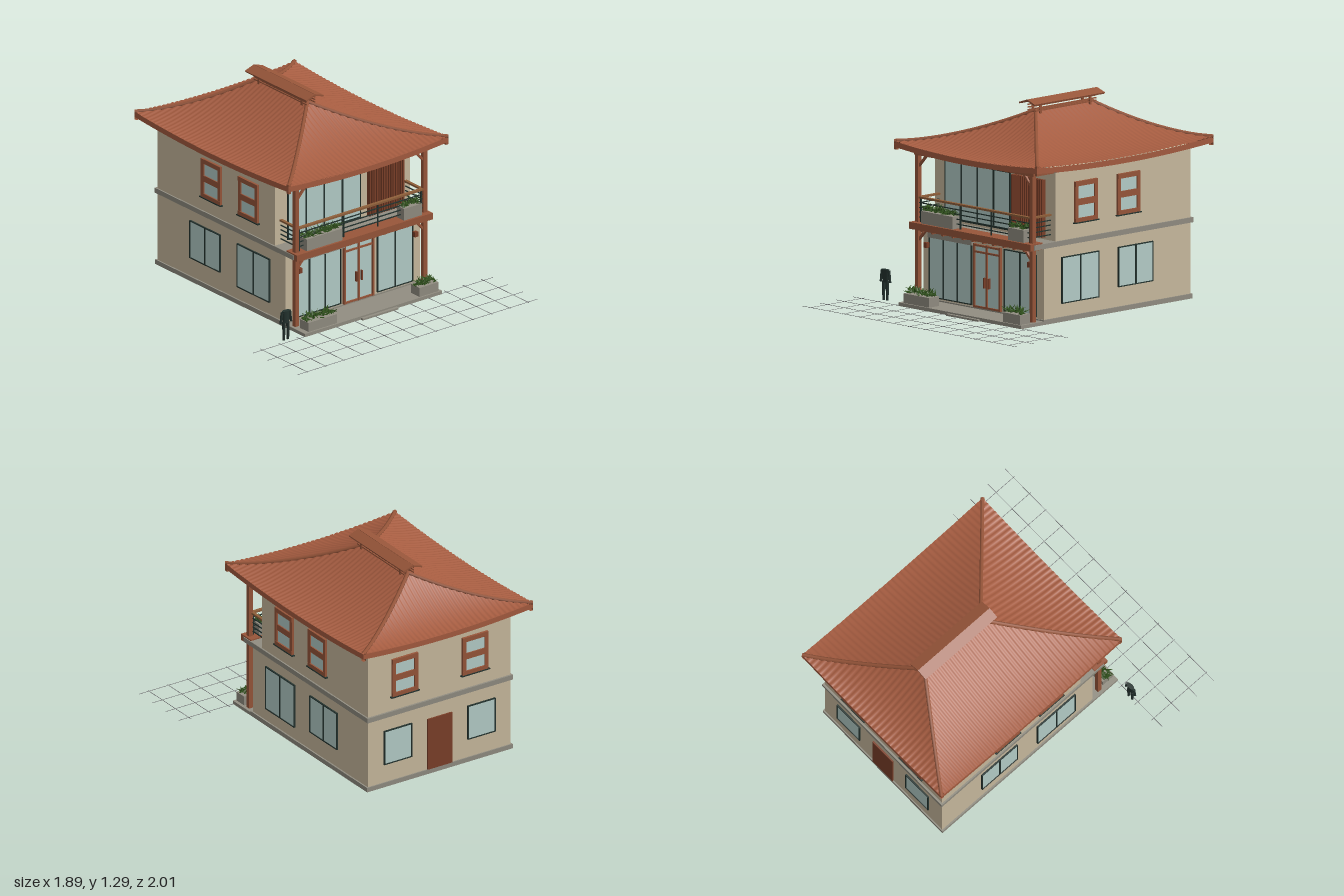
import * as THREE from 'three';
import { mergeGeometries } from 'three/addons/utils/BufferGeometryUtils.js';

const mat = (name, color, side = THREE.FrontSide) => {
  const m = new THREE.MeshStandardMaterial({ color, side });
  m.name = name;
  return m;
};

export function createModel() {
  const roofTile = mat('roof tile', 0xa65c40, THREE.DoubleSide);
  const timber = mat('timber', 0x98563a);
  const wall = mat('plaster', 0xcabb9f);
  const stone = mat('stone', 0x928e82);
  const glass = mat('glass', 0xb6cfca);
  const steel = mat('dark steel', 0x24332f);
  const leaf = mat('foliage', 0x34571f, THREE.DoubleSide);
  const screen = mat('screen', 0x7d4029);
  const railWood = mat('rail wood', 0x8f5f3a);
  const gridLine = mat('paving joint', 0x77777a);

  const house = new THREE.Group();
  house.name = 'house';
  const add = (parent, name, geo, m) => {
    const mesh = new THREE.Mesh(geo, m);
    mesh.name = name;
    parent.add(mesh);
    return mesh;
  };
  // box given by its limits
  const box = (name, m, x0, x1, y0, y1, z0, z1, parent = house) => {
    const b = add(parent, name, new THREE.BoxGeometry(x1 - x0, y1 - y0, z1 - z0), m);
    b.position.set((x0 + x1) / 2, (y0 + y1) / 2, (z0 + z1) / 2);
    return b;
  };
  // straight bar between two points
  const bar = (name, m, a, b, w) => {
    const p = new THREE.Vector3(...a), q = new THREE.Vector3(...b);
    const mesh = add(house, name, new THREE.BoxGeometry(w, w, p.distanceTo(q)), m);
    mesh.position.copy(p).add(q).multiplyScalar(0.5);
    mesh.lookAt(q);
    return mesh;
  };
  // grid surface from fn(s, t) -> [x, y, z]
  const surface = (fn, ns, nt) => {
    const pos = [], idx = [], row = nt + 1;
    for (let i = 0; i <= ns; i++) for (let j = 0; j <= nt; j++) {
      pos.push(...fn(i / ns, j / nt));
      const a = i * row + j, b = a + row;
      if (i < ns && j < nt) idx.push(a, b, b + 1, a, b + 1, a + 1);
    }
    const g = new THREE.BufferGeometry();
    g.setAttribute('position', new THREE.Float32BufferAttribute(pos, 3));
    g.setIndex(idx);
    g.computeVertexNormals();
    return g;
  };

  // body
  box('plinth', stone, -0.54, 0.54, 0, 0.03, -0.91, 0.365);
  box('terrace', stone, -0.54, 0.54, 0, 0.022, 0.365, 0.56);
  box('frontStep', stone, -0.1, 0.18, 0, 0.012, 0.56, 0.58);
  box('lowerWalls', wall, -0.53, 0.53, 0.03, 0.475, -0.902, 0.355);
  box('floorBand', stone, -0.54, 0.54, 0.475, 0.507, -0.915, 0.445);
  box('upperWalls', wall, -0.53, 0.53, 0.507, 0.96, -0.902, 0.255);
  box('upperTrim', stone, -0.534, 0.534, 0.936, 0.946, -0.906, 0.259);

  // faces: local x runs to the viewer's right, local z points outwards
  const face = (name, x, z, angle) => {
    const g = new THREE.Group();
    g.name = name;
    g.position.set(x, 0, z);
    g.rotation.y = angle;
    house.add(g);
    return g;
  };
  // glazing with dark frame and evenly spaced mullions
  const glazing = (f, x0, x1, y0, y1, panes) => {
    box('glass', glass, x0, x1, y0, y1, 0, 0.006, f);
    for (let i = 0; i <= panes; i++) {
      const x = x0 + (x1 - x0) * i / panes, w = i % panes ? 0.005 : 0.003;
      box('mullion', steel, x - w, x + w, y0, y1, 0, 0.011, f);
    }
    for (const y of [y0, y1]) box('windowRail', steel, x0 - 0.003, x1 + 0.003, y - 0.003, y + 0.003, 0, 0.011, f);
  };
  // upper window with heavy timber frame
  const framedWindow = (f, x) => {
    const w = 0.095, y0 = 0.605, y1 = 0.86;
    box('glass', glass, x - 0.07, x + 0.07, y0 + 0.02, y1 - 0.02, 0, 0.006, f);
    for (const s of [-1, 1]) box('windowJamb', timber, x + s * 0.0825 - 0.0125, x + s * 0.0825 + 0.0125, y0, y1, 0, 0.015, f);
    box('windowHead', timber, x - w, x + w, y1 - 0.03, y1, 0, 0.016, f);
    box('windowTransom', timber, x - 0.07, x + 0.07, 0.71, 0.75, 0, 0.014, f);
    box('windowFoot', timber, x - w, x + w, y0, y0 + 0.025, 0, 0.016, f);
    box('windowSill', steel, x - 0.105, x + 0.105, y0 - 0.007, y0, 0, 0.02, f);
  };
  for (const s of [1, -1]) {
    const f = face(s > 0 ? 'leftFace' : 'rightFace', s * 0.53, 0, s * Math.PI / 2);
    const span = (a, b) => [Math.min(-s * a, -s * b), Math.max(-s * a, -s * b)];
    glazing(f, ...span(0.205, -0.108), 0.115, 0.4, 2);
    glazing(f, ...span(-0.28, -0.572), 0.155, 0.4, 2);
    for (const z of [0.002, -0.362]) framedWindow(f, -s * z);
  }
  const back = face('backFace', 0, -0.902, Math.PI);
  for (const x of [-0.31, 0.31]) {
    glazing(back, x - 0.1, x + 0.1, 0.155, 0.38, 1);
    framedWindow(back, x * 0.84);
  }
  box('backDoor', screen, -0.09, 0.09, 0.03, 0.375, 0, 0.01, back);

  // ground floor front
  const front = face('lowerFront', 0, 0.355, 0);
  glazing(front, -0.47, -0.1, 0.042, 0.42, 3);
  glazing(front, 0.19, 0.465, 0.042, 0.425, 2);
  box('doorGlass', glass, -0.07, 0.15, 0.035, 0.425, 0, 0.006, front);
  for (const x of [-0.072, 0.038, 0.152]) box('doorStile', timber, x - 0.007, x + 0.007, 0.03, 0.43, 0, 0.016, front);
  for (const y of [0.037, 0.38, 0.42]) box('doorRail', timber, -0.078, 0.158, y - 0.006, y + 0.006, 0, 0.014, front);
  for (const x of [0.018, 0.06]) box('doorHandle', screen, x - 0.004, x + 0.004, 0.16, 0.225, 0.006, 0.02, front);
  box('shadeBox', stone, -0.47, -0.08, 0.415, 0.475, 0, 0.025, front);

  // upper floor front
  const upper = face('upperFront', 0, 0.255, 0);
  glazing(upper, -0.435, 0.135, 0.525, 0.885, 4);
  box('screenBack', screen, 0.18, 0.455, 0.525, 0.885, 0.015, 0.025, upper);
  for (let i = 0; i < 15; i++) {
    const x = 0.187 + i * 0.0187;
    box('screenSlat', screen, x - 0.005, x + 0.005, 0.525, 0.885, 0.025, 0.042, upper);
  }

  // timber frame of the balcony
  box('balconyBeam', timber, -0.535, 0.535, 0.472, 0.515, 0.37, 0.475);
  box('topBeam', timber, -0.525, 0.525, 0.932, 0.956, 0.41, 0.44);
  for (let i = 0; i < 11; i++) box('joistEnd', timber, -0.458 + i * 0.09, -0.442 + i * 0.09, 0.457, 0.474, 0.36, 0.45);
  for (const s of [-1, 1]) {
    box('post', timber, s * 0.505 - 0.014, s * 0.505 + 0.014, 0.02, 0.95, 0.412, 0.44);
    box('sideTopBeam', timber, s * 0.505 - 0.012, s * 0.505 + 0.012, 0.93, 0.95, 0.25, 0.42);
    bar('upperBrace', timber, [s * 0.5, 0.86, 0.426], [s * 0.43, 0.935, 0.426], 0.014);
    bar('lowerBrace', timber, [s * 0.5, 0.4, 0.426], [s * 0.43, 0.475, 0.426], 0.014);
    box('lantern', screen, s * 0.455 - 0.013, s * 0.455 + 0.013, 0.355, 0.388, 0.39, 0.415);
    // side railing
    box('sideHandrail', railWood, s * 0.49 - 0.01, s * 0.49 + 0.01, 0.663, 0.675, 0.26, 0.435);
    for (const y of [0.545, 0.575, 0.605, 0.635]) box('sideRail', steel, s * 0.49 - 0.003, s * 0.49 + 0.003, y - 0.003, y + 0.003, 0.26, 0.43);
  }
  box('handrail', railWood, -0.49, 0.49, 0.663, 0.675, 0.415, 0.437);
  for (const y of [0.545, 0.575, 0.605, 0.635]) box('rail', steel, -0.49, 0.49, y - 0.003, y + 0.003, 0.423, 0.429);
  for (const x of [-0.48, -0.13, 0.14, 0.48]) box('railPost', steel, x - 0.004, x + 0.004, 0.507, 0.665, 0.422, 0.43);

  // planters with leafy plants
  let seed = 7;
  const rnd = () => (seed = (seed * 16807) % 2147483647) / 2147483647;
  const planter = (x0, x1, y0, y1, z0, z1) => {
    box('planter', stone, x0, x1, y0, y1, z0, z1);
    const leaves = [], n = Math.round((x1 - x0) * 420);
    for (let i = 0; i < n; i++) {
      const g = new THREE.ConeGeometry(0.009, 0.045, 4);
      g.scale(1, 1, 0.35);
      g.translate(0, 0.022, 0);
      g.rotateX(0.5 + rnd() * 1.1);
      g.rotateY(rnd() * Math.PI * 2);
      g.translate(x0 + (x1 - x0) * rnd(), y1 + rnd() * 0.02, z0 + (z1 - z0) * (0.2 + 0.6 * rnd()));
      leaves.push(g);
    }
    add(house, 'plants', mergeGeometries(leaves), leaf);
  };
  planter(-0.505, -0.28, 0.02, 0.082, 0.465, 0.55);
  planter(0.37, 0.52, 0.02, 0.082, 0.465, 0.55);
  planter(-0.445, -0.165, 0.515, 0.593, 0.39, 0.46);
  planter(0.32, 0.46, 0.515, 0.593, 0.39, 0.46);

  // hipped roof: u climbs from eave to ridge, e runs along the eave, corners lift
  const X = 0.63, ZF = 0.51, ZB = -1, DF = 0.6, DB = 0.44;
  const rise = (u, e) => 1.01 + 0.2 * Math.pow(u, 1.7) - 0.03 * (1 - e * e) * (1 - u);
  const slopes = [
    { len: 2 * X, at: (a, u) => [a - X, ZF - DF * u], lim: (u) => [X * u, 2 * X - X * u] },
    { len: 2 * X, at: (a, u) => [X - a, ZB + DB * u], lim: (u) => [X * u, 2 * X - X * u] },
    { len: ZF - ZB, at: (a, u) => [X - X * u, ZF - a], lim: (u) => [DF * u, ZF - ZB - DB * u] },
    { len: ZF - ZB, at: (a, u) => [X * u - X, ZB + a], lim: (u) => [DB * u, ZF - ZB - DF * u] },
  ];
  for (const { len, at, lim } of slopes) {
    const k0 = lim(1)[0], k1 = len - lim(1)[1];
    const point = (a, u, drop = 0) => {
      const [l, h] = lim(u), e = h - l < 1e-5 ? 1 : (2 * a - l - h) / (h - l);
      const [x, z] = at(a, u);
      return [x, rise(u, Math.max(-1, Math.min(1, e))) - drop, z];
    };
    const ribs = Math.round(len / 0.035);
    add(house, 'roofSlope', surface((s, t) => {
      const a = s * len, top = Math.min(1, a / k0, (len - a) / k1);
      return point(a, t * top, -0.006 * Math.abs(Math.sin(s * ribs * Math.PI)));
    }, ribs * 4, 12), roofTile);
    add(house, 'eaveFascia', surface((s, t) => point(s * len, 0, 0.035 * (1 - t)), 24, 1), roofTile);
    // soffit from the fascia foot back to the wall head
    add(house, 'soffit', surface((s, t) => {
      const [x, y, z] = point(s * len, 0, 0.035);
      const ix = Math.max(-0.52, Math.min(0.52, x)), iz = Math.max(-0.89, Math.min(0.25, z));
      return [ix + (x - ix) * t, 0.955 + (y - 0.955) * t, iz + (z - iz) * t];
    }, 24, 2), roofTile);
  }
  // hip caps
  for (const s of [-1, 1]) for (const [z0, d] of [[ZF, -DF], [ZB, DB]]) {
    const pts = [];
    for (let i = 0; i <= 8; i++) pts.push(new THREE.Vector3(s * X * (1 - i / 8), rise(i / 8, 1) + 0.002, z0 + d * i / 8));
    add(house, 'hipCap', new THREE.TubeGeometry(new THREE.CatmullRomCurve3(pts), 24, 0.013, 6), timber);
    box('eaveTip', timber, s * 0.62 - 0.01, s * 0.62 + 0.01, 0.96, 1.022, z0 - Math.sign(z0) * 0.02, z0);
  }
  box('ridgeCap', timber, -0.014, 0.014, 1.195, 1.218, -0.57, -0.08);

  // raised ridge vent
  for (const s of [-1, 1]) {
    const plate = add(house, 'ventRoof', new THREE.BoxGeometry(0.073, 0.01, 0.6), timber);
    plate.position.set(s * 0.034, 1.27, -0.315);
    plate.rotation.z = -s * 0.33;
    for (const z of [-0.1, -0.525]) box('ventPost', timber, s * 0.033 - 0.005, s * 0.033 + 0.005, 1.17, 1.268, z - 0.008, z + 0.008);
    for (const y of [1.213, 1.23, 1.247]) box('ventSlat', timber, s * 0.033 - 0.003, s * 0.033 + 0.003, y - 0.004, y + 0.004, -0.575, -0.055);
  }

  // standing figure
  const figure = new THREE.Group();
  figure.name = 'figure';
  figure.position.set(-0.675, 0, 0.54);
  house.add(figure);
  const torso = add(figure, 'torso', new THREE.CylinderGeometry(0.03, 0.024, 0.08, 10), steel);
  torso.scale.z = 0.5;
  torso.position.y = 0.168;
  for (const s of [-1, 1]) {
    const arm = add(figure, 'arm', new THREE.CylinderGeometry(0.009, 0.007, 0.075, 8), steel);
    arm.position.set(s * 0.036, 0.165, 0);
    arm.rotation.z = s * 0.15;
    add(figure, 'leg', new THREE.CylinderGeometry(0.011, 0.008, 0.12, 8), steel).position.set(s * 0.016, 0.075, 0);
  }

  // paving joints on the ground in front
  for (let i = -6; i <= 6; i++) box('joint', gridLine, i * 0.145 - 0.0015, i * 0.145 + 0.0015, 0, 0.002, Math.abs(i) < 4 ? 0.56 : 0.53, 1);
  for (const z of [0.555, 0.7, 0.845, 0.99]) box('crossJoint', gridLine, -0.945, 0.945, 0, 0.002, z - 0.0015, z + 0.0015);
  return house;
}
